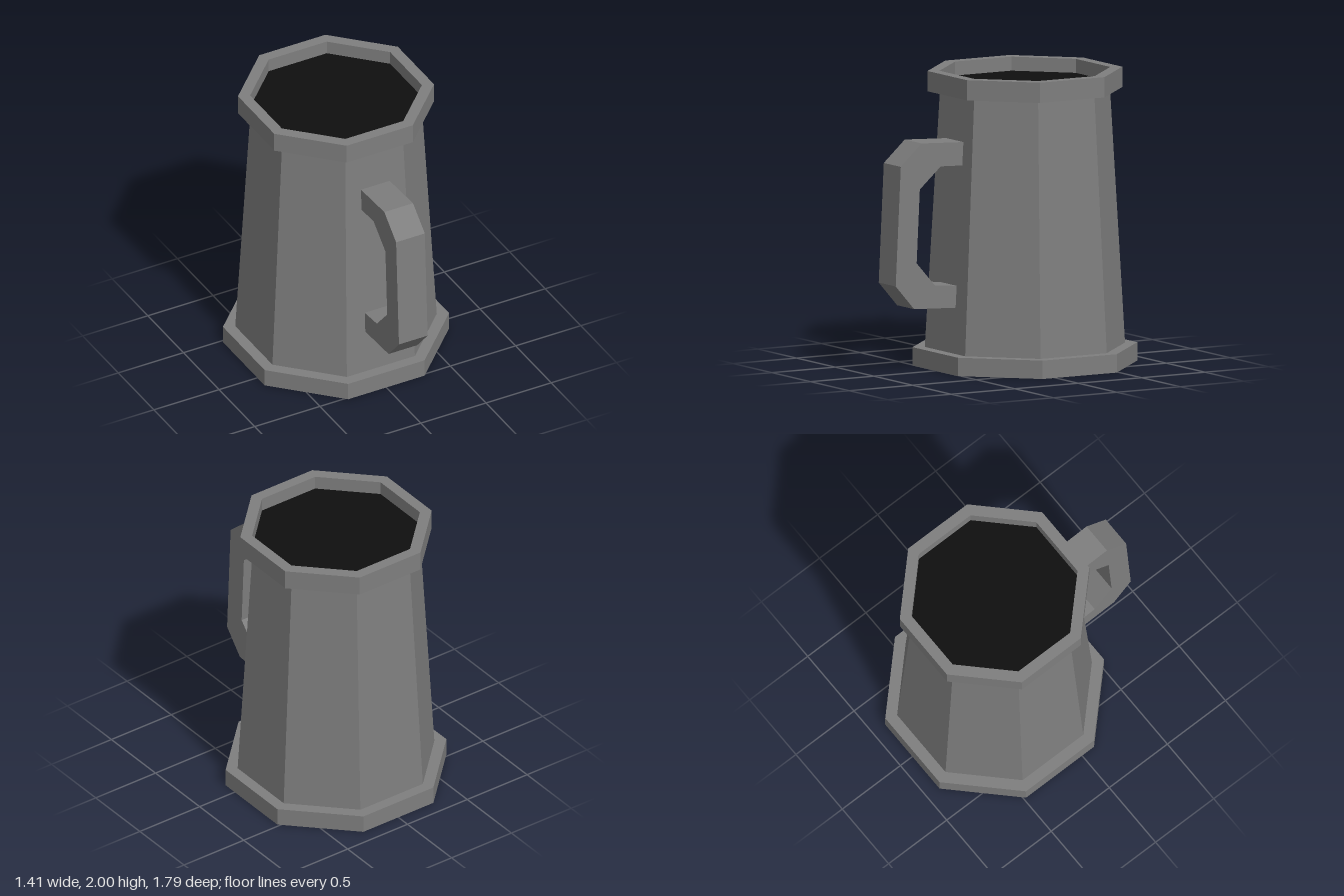
import * as THREE from 'three';

const SIDES = 8;
const AXIS_Z = -0.19; // the vessel sits behind the handle

// Octagonal ring or solid from a profile of [apothem, y], listed so that faces point outward
function octagon(name, profile, material) {
  const points = profile.map(([a, y]) => new THREE.Vector2(a / Math.cos(Math.PI / SIDES), y));
  const mesh = new THREE.Mesh(new THREE.LatheGeometry(points, SIDES, Math.PI / SIDES), material);
  mesh.name = name;
  mesh.position.z = AXIS_Z;
  return mesh;
}

export function createModel() {
  const group = new THREE.Group();
  group.name = 'tankard';

  const grey = new THREE.MeshStandardMaterial({ color: 0x7e7e7e, flatShading: true });
  grey.name = 'grey metal';
  const black = new THREE.MeshStandardMaterial({ color: 0x0f0f0f, flatShading: true });
  black.name = 'dark drink';

  // Foot, tapered wall, rim and drink surface
  group.add(
    octagon('foot', [[0, 0], [0.707, 0], [0.707, 0.125], [0.6, 0.125]], grey),
    octagon('body', [[0.63, 0.125], [0.535, 1.862]], grey),
    octagon('rim', [[0.53, 1.862], [0.613, 1.862], [0.613, 2], [0.537, 2], [0.537, 1.9]], grey),
    octagon('drink', [[0.537, 1.905], [0, 1.905]], black)
  );

  // Handle outline in (z, y), extruded across x
  const outline = [
    [0.34, 1.556], [0.69, 1.572], [0.855, 1.425], [0.895, 0.615], [0.75, 0.45], [0.39, 0.434],
    [0.39, 0.582], [0.585, 0.598], [0.73, 0.76], [0.705, 1.26], [0.54, 1.405], [0.34, 1.398]
  ].map(([z, y]) => new THREE.Vector2(z, y));
  const width = 0.22;
  const geometry = new THREE.ExtrudeGeometry(new THREE.Shape(outline), { depth: width, bevelEnabled: false });
  geometry.rotateY(-Math.PI / 2);
  geometry.translate(width / 2, 0, 0);
  const handle = new THREE.Mesh(geometry, grey);
  handle.name = 'handle';
  group.add(handle);

  return group;
}
